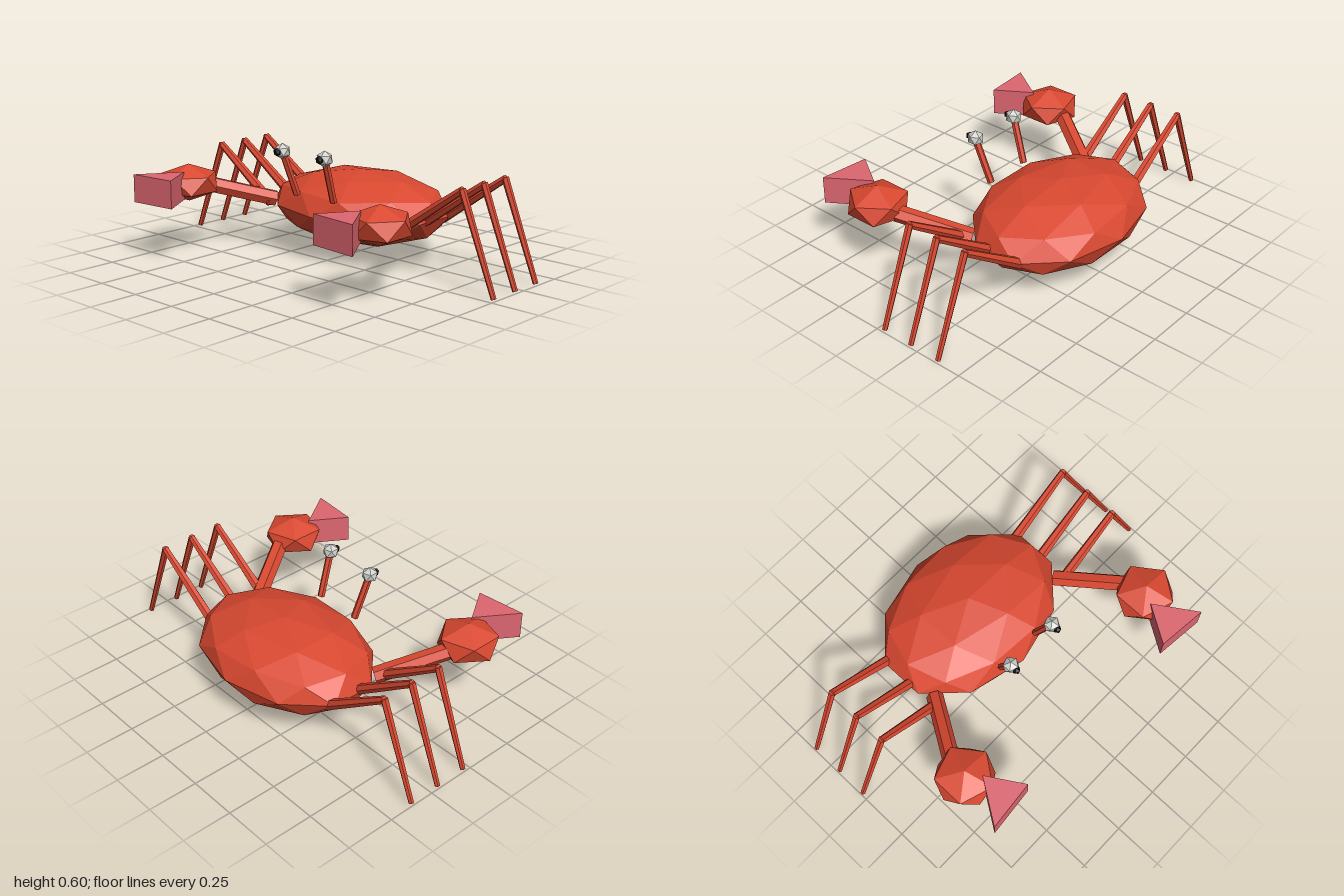
import * as THREE from 'three';

const material = (name, color) => {
  const m = new THREE.MeshStandardMaterial({ color, flatShading: true });
  m.name = name;
  return m;
};

export function createModel() {
  const crab = new THREE.Group();
  crab.name = 'crab';

  const shellRed = material('shell red', 0xd94830);
  const clawPink = material('claw pink', 0xdd6670);
  const eyeGrey = material('eye grey', 0xd0d0cb);
  const pupilBlack = material('pupil black', 0x0a0a0a);

  const add = (name, geometry, mat) => {
    const mesh = new THREE.Mesh(geometry, mat);
    mesh.name = name;
    crab.add(mesh);
    return mesh;
  };

  // Faceted ball with a corner at each pole, stretched to the given radii
  const ball = (name, mat, detail, radii, centre) => {
    const g = new THREE.IcosahedronGeometry(1, detail);
    g.rotateZ(-Math.atan2(1, (1 + Math.sqrt(5)) / 2));
    g.scale(...radii);
    g.computeVertexNormals();
    return add(name, g, mat).position.set(...centre);
  };

  // Tapered six-sided rod between two points
  const up = new THREE.Vector3(0, 1, 0);
  const rod = (name, from, to, r0, r1) => {
    const a = new THREE.Vector3(...from);
    const b = new THREE.Vector3(...to);
    const dir = b.clone().sub(a);
    const mesh = add(name, new THREE.CylinderGeometry(r1, r0, dir.length(), 6), shellRed);
    mesh.position.copy(a).add(b).multiplyScalar(0.5);
    mesh.quaternion.setFromUnitVectors(up, dir.normalize());
  };

  ball('shell', shellRed, 1, [0.505, 0.185, 0.37], [0, 0.245, -0.25]);

  for (const [side, s] of [['left', 1], ['right', -1]]) {
    // Three jointed walking legs
    [-0.035, -0.2, -0.365].forEach((z, i) => {
      const name = `${side}Leg${i + 1}`;
      rod(`${name}Upper`, [s * 0.43, 0.225, z], [s * 0.8, 0.482, z], 0.027, 0.018);
      rod(`${name}Lower`, [s * 0.795, 0.485, z], [s * 0.986, 0.008, z], 0.018, 0.013);
    });

    // Arm and claw palm
    rod(`${side}Arm`, [s * 0.43, 0.24, -0.07], [s * 0.62, 0.34, 0.235], 0.042, 0.042);
    ball(`${side}Palm`, shellRed, 0, [0.162, 0.095, 0.162], [s * 0.635, 0.36, 0.34]);

    // Triangular pincer, drawn flat in x and z and extruded in height
    const outline = new THREE.Shape([
      new THREE.Vector2(s * 0.588, -0.41),
      new THREE.Vector2(s * 0.473, -0.592),
      new THREE.Vector2(s * 0.725, -0.617),
    ]);
    const pincer = new THREE.ExtrudeGeometry(outline, { depth: 0.14, bevelEnabled: false });
    pincer.rotateX(-Math.PI / 2);
    add(`${side}Pincer`, pincer, clawPink).position.y = 0.29;

    // Eye on its stalk
    rod(`${side}EyeStalk`, [s * 0.122, 0.335, 0.085], [s * 0.14, 0.545, 0.16], 0.018, 0.018);
    ball(`${side}Eye`, eyeGrey, 0, [0.042, 0.04, 0.042], [s * 0.14, 0.56, 0.165]);
    ball(`${side}Pupil`, pupilBlack, 0, [0.021, 0.02, 0.021], [s * 0.14, 0.56, 0.2]);
  }

  return crab;
}
